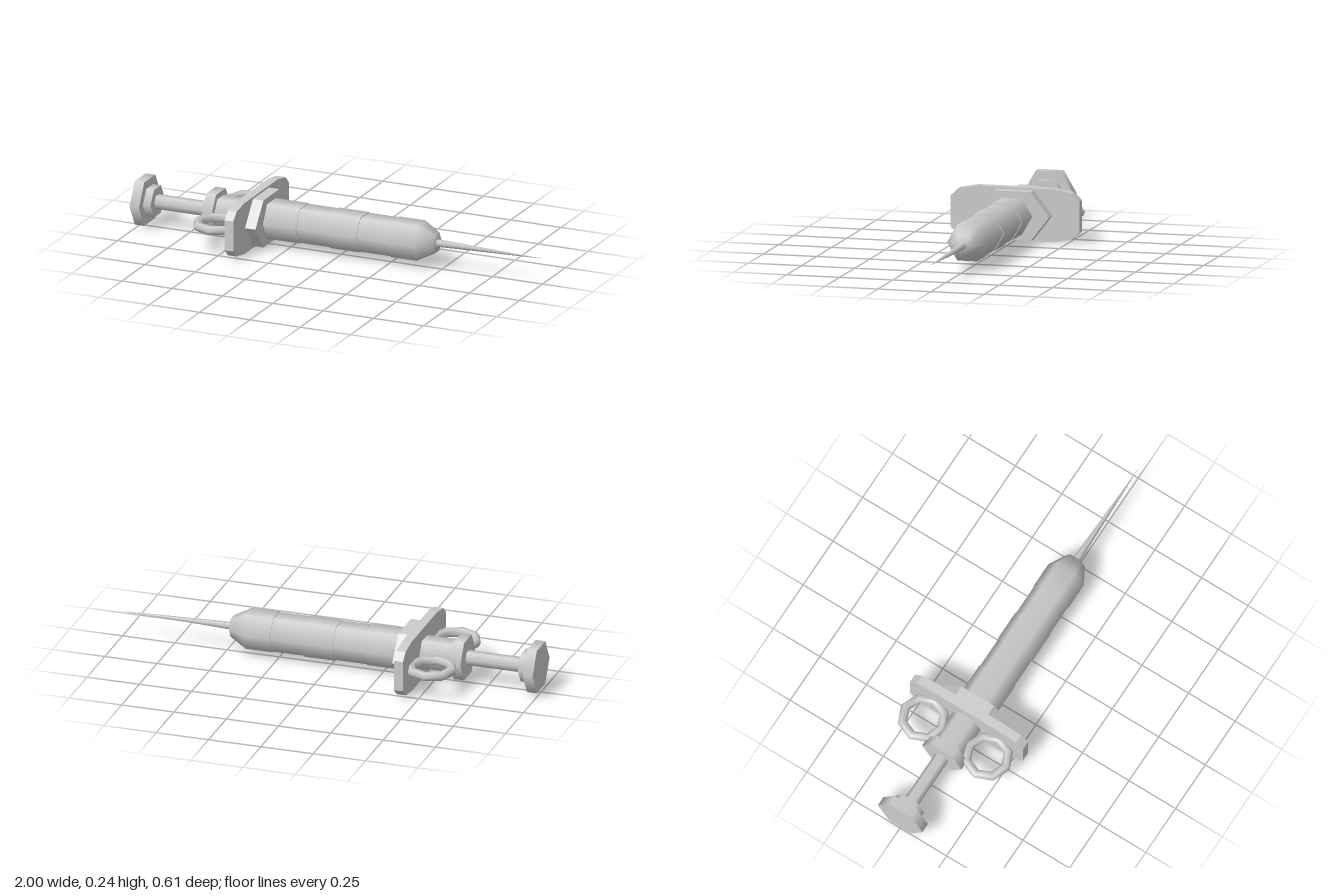
import * as THREE from 'three';

const AXIS_Y = 0.123;
const smooth = new THREE.MeshStandardMaterial({ color: 0xcccccc });
const flat = new THREE.MeshStandardMaterial({ color: 0xcccccc, flatShading: true });

export function createModel() {
  const group = new THREE.Group();
  group.name = 'syringe';

  const add = (name, geometry, material = smooth) => {
    const mesh = new THREE.Mesh(geometry, material);
    mesh.name = name;
    mesh.position.y += AXIS_Y;
    group.add(mesh);
    return mesh;
  };

  // Six-sided section lying along x, from x0 to x1
  const hex = (name, x0, x1, r0, r1 = r0, material = smooth) => {
    const geometry = new THREE.CylinderGeometry(r1, r0, x1 - x0, 6);
    geometry.rotateZ(-Math.PI / 2).translate((x0 + x1) / 2, 0, 0);
    return add(name, geometry, material);
  };

  // Plunger
  hex('plungerThumbPad', -1, -0.953, 0.12);
  hex('plungerStep', -0.953, -0.915, 0.076);
  hex('plungerRod', -0.915, -0.64, 0.035);

  // Rear neck and its end flange
  hex('neckFlange', -0.65, -0.6, 0.106);
  hex('neck', -0.6, -0.44, 0.077);

  // Finger plate with cut corners, drawn in z and y
  const corners = [[0.18, 0.122], [0.266, 0.107], [0.303, 0.072]];
  const upperHalf = [...corners].reverse().concat(corners.map(([z, y]) => [-z, y]));
  const outline = upperHalf.concat(upperHalf.map(([z, y]) => [-z, -y]));
  const plateShape = new THREE.Shape(outline.map(([z, y]) => new THREE.Vector2(z, y)));
  const plate = new THREE.ExtrudeGeometry(plateShape, { depth: 0.043, bevelEnabled: false });
  plate.rotateY(Math.PI / 2).translate(-0.443, 0, 0);
  add('fingerPlate', plate, flat);

  // Collar: a hexagon stretched sideways
  const collar = hex('collar', -0.4, -0.348, 0.13, 0.13, flat);
  collar.scale.z = 0.175 / 0.13;

  // Finger rings, one on each side of the neck
  for (const side of [-1, 1]) {
    const ring = new THREE.TorusGeometry(0.097, 0.022, 6, 8);
    ring.rotateX(Math.PI / 2).translate(-0.535, 0, side * 0.172);
    add(side > 0 ? 'frontFingerRing' : 'backFingerRing', ring);
  }

  // Barrel of alternating wide and narrow bands
  const joints = [-0.348, -0.185, -0.035, 0.115, 0.265];
  for (let i = 0; i < 4; i++) {
    hex('barrelBand' + (i + 1), joints[i], joints[i + 1], i % 2 ? 0.0915 : 0.095);
  }

  // Last band running into the rounded nose
  hex('noseRim', 0.265, 0.27, 0.095);
  const profile = [[0.095, 0.27], [0.095, 0.395], [0.05, 0.475], [0, 0.478]];
  const nose = new THREE.LatheGeometry(profile.map(([r, x]) => new THREE.Vector2(r, x)), 6);
  nose.rotateZ(-Math.PI / 2);
  add('nose', nose);

  // Needle
  hex('needle', 0.47, 1, 0.018, 0.0005);

  return group;
}
